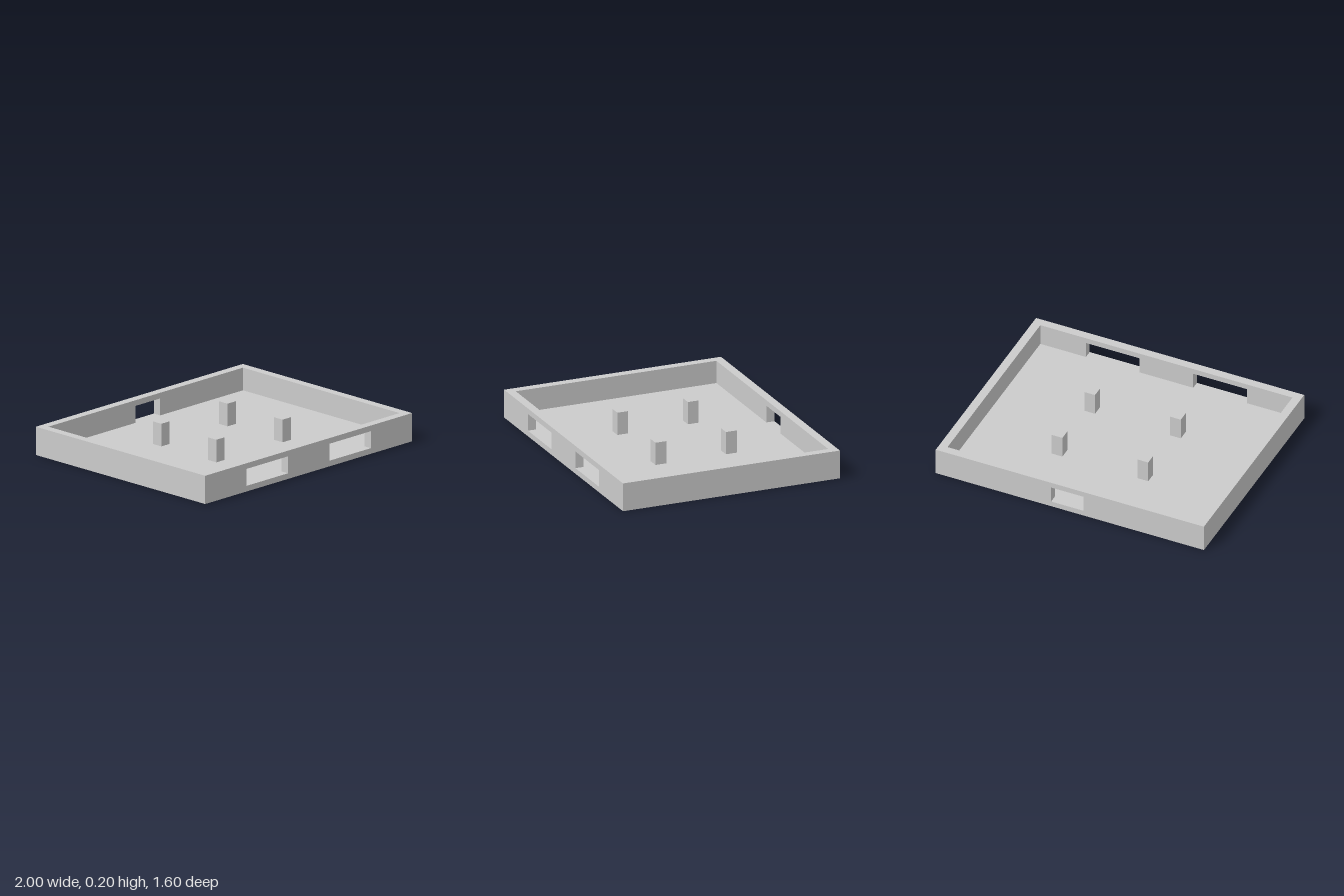
import * as THREE from 'three';

const W = 2, D = 1.6, H = 0.2;      // outer size of the tray
const WALL = 0.06, FLOOR = 0.04;    // thicknesses
const SILL = 0.04, HEAD = 0.16;     // bottom and top of the wall openings

export function createModel() {
  const model = new THREE.Group();
  model.name = 'tray';
  const material = new THREE.MeshStandardMaterial({ color: 0xcccccc, flatShading: true });

  const add = (name, geometry, x, y, z) => {
    const mesh = new THREE.Mesh(geometry, material);
    mesh.name = name;
    mesh.position.set(x, y, z);
    model.add(mesh);
  };
  const box = (name, w, h, d, x, y, z) => add(name, new THREE.BoxGeometry(w, h, d), x, y + h / 2, z);

  // Long wall with rectangular openings, each given as [x0, x1]
  const wallWithOpenings = (name, openings, z) => {
    const shape = new THREE.Shape([[-W / 2, 0], [W / 2, 0], [W / 2, H], [-W / 2, H]]
      .map(([x, y]) => new THREE.Vector2(x, y)));
    for (const [x0, x1] of openings) {
      shape.holes.push(new THREE.Path([[x0, SILL], [x0, HEAD], [x1, HEAD], [x1, SILL]]
        .map(([x, y]) => new THREE.Vector2(x, y))));
    }
    add(name, new THREE.ExtrudeGeometry(shape, { depth: WALL, bevelEnabled: false }), 0, 0, z);
  };

  // Floor, fitted between the walls
  box('floor', W - 2 * WALL, FLOOR, D - 2 * WALL, 0, 0, 0);

  // Front wall with two wide openings, back wall with one off-centre opening
  wallWithOpenings('frontWall', [[-0.6, -0.2], [0.2, 0.6]], D / 2 - WALL);
  wallWithOpenings('backWall', [[-0.1, 0.14]], -D / 2);

  // Plain side walls and the four support posts
  for (const [side, s] of [['left', 1], ['right', -1]]) {
    box(side + 'Wall', WALL, H, D - 2 * WALL, s * (W - WALL) / 2, 0, 0);
    box(side + 'FrontPost', 0.08, H - FLOOR, 0.08, s * 0.32, FLOOR, 0.24);
    box(side + 'BackPost', 0.08, H - FLOOR, 0.08, s * 0.32, FLOOR, -0.28);
  }

  return model;
}
